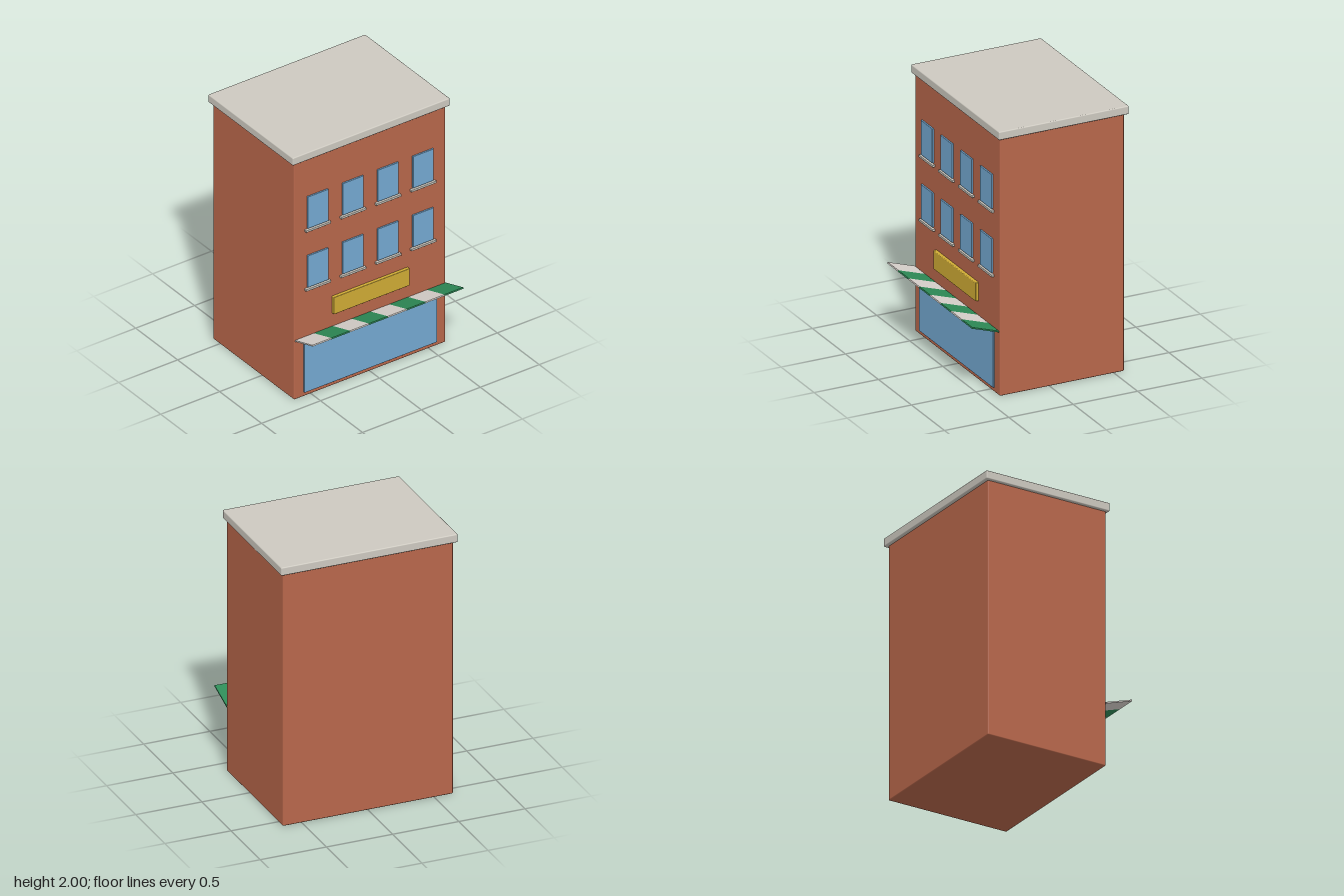
import * as THREE from 'three';
import { RoundedBoxGeometry } from 'three/addons/geometries/RoundedBoxGeometry.js';

const material = (name, color) => {
  const m = new THREE.MeshStandardMaterial({ color });
  m.name = name;
  return m;
};

export function createModel() {
  const brick = material('brick', 0xb8674b);
  const stone = material('stone', 0xcdc9c0);
  const glass = material('glass', 0x74a9d2);
  const gold = material('gold', 0xd0ac35);
  const cream = material('cream', 0xdad4ce);
  const green = material('green', 0x2e8b57);

  const building = new THREE.Group();
  building.name = 'shopBuilding';

  // Box given by its extents, with softened edges when a radius is set
  const block = (name, mat, [x0, x1], [y0, y1], [z0, z1], radius = 0, parent = building) => {
    const size = [x1 - x0, y1 - y0, z1 - z0];
    const geometry = radius ? new RoundedBoxGeometry(...size, 2, radius) : new THREE.BoxGeometry(...size);
    const mesh = new THREE.Mesh(geometry, mat);
    mesh.name = name;
    mesh.position.set((x0 + x1) / 2, (y0 + y1) / 2, (z0 + z1) / 2);
    parent.add(mesh);
    return mesh;
  };

  const wall = 0.386;

  // Main volume and overhanging roof slab
  block('walls', brick, [-0.643, 0.643], [0, 1.95], [-0.579, wall], 0.008);
  block('roofSlab', stone, [-0.667, 0.667], [1.937, 2], [-0.605, 0.405], 0.008);

  // Two rows of four windows with sills
  for (const base of [0.887, 1.37]) {
    for (const x of [-0.447, -0.149, 0.149, 0.447]) {
      const unit = new THREE.Group();
      unit.name = 'window';
      building.add(unit);
      block('windowPane', glass, [x - 0.088, x + 0.088], [base, base + 0.26], [wall - 0.004, 0.398], 0.003, unit);
      block('windowSill', stone, [x - 0.107, x + 0.107], [base - 0.024, base - 0.006], [wall - 0.004, 0.406], 0.004, unit);
    }
  }

  // Shop front and sign board
  block('shopWindow', glass, [-0.563, 0.563], [0.034, 0.455], [wall - 0.004, 0.398], 0.003);
  block('signBoard', gold, [-0.322, 0.322], [0.594, 0.734], [wall - 0.004, 0.411], 0.005);

  // Striped awning, rising away from the wall
  const awning = new THREE.Group();
  awning.name = 'awning';
  awning.position.set(0, 0.52, 0.497);
  awning.rotation.x = -0.32;
  building.add(awning);
  const stripe = 0.16;
  for (let i = 0; i < 8; i++) {
    const x = (i - 4) * stripe;
    block('awningStripe', i % 2 ? green : cream, [x, x + stripe], [-0.005, 0.005], [-0.11, 0.11], 0, awning);
  }

  return building;
}
